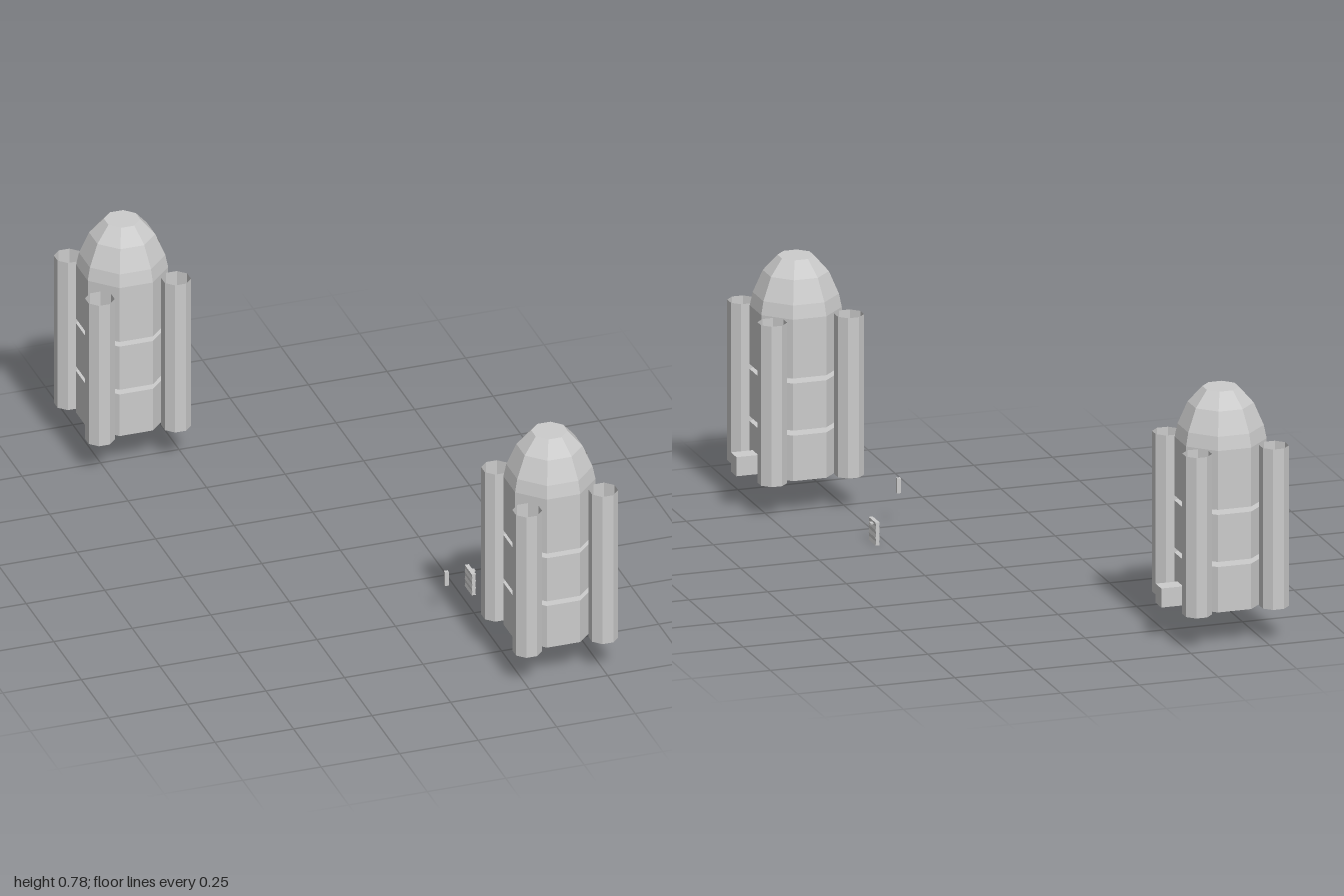
import * as THREE from 'three';

const mat = new THREE.MeshStandardMaterial({ color: 0xcccccc, flatShading: true });
const openMat = new THREE.MeshStandardMaterial({ color: 0xcccccc, flatShading: true, side: THREE.DoubleSide });
const K = 1 / Math.cos(Math.PI / 8); // flat-to-flat radius to corner radius

function add(parent, name, geo, x = 0, y = 0, z = 0, material = mat) {
  const mesh = new THREE.Mesh(geo, material);
  mesh.name = name;
  mesh.position.set(x, y, z);
  parent.add(mesh);
  return mesh;
}

const box = (w, h, d) => new THREE.BoxGeometry(w, h, d);

// Eight-sided turned solid with flats facing the axes; profile holds [flat radius, y]
function octagon(profile) {
  const points = profile.map(([r, y]) => new THREE.Vector2(r * K, y));
  return new THREE.LatheGeometry(points, 8, Math.PI / 8);
}

function createSilo() {
  const silo = new THREE.Group();
  silo.name = 'silo';

  // Body in three sections parted by narrow gaps
  add(silo, 'lowerBody', octagon([[0, 0.107], [0.128, 0.107], [0.128, 0.25], [0, 0.25]]));
  add(silo, 'middleBody', octagon([[0, 0.266], [0.128, 0.266], [0.128, 0.414], [0, 0.414]]));
  add(silo, 'upperBodyAndDome', octagon([
    [0, 0.43], [0.128, 0.43], [0.128, 0.615], [0.12, 0.657],
    [0.092, 0.727], [0.051, 0.776], [0, 0.776],
  ]));

  // Cores joining the sections
  add(silo, 'lowerCore', box(0.075, 0.016, 0.075), 0, 0.258, 0);
  add(silo, 'upperCore', box(0.115, 0.016, 0.13), 0.02, 0.422, -0.01);

  // Corner towers, open at the top; one is shorter
  const towers = [
    [-0.129, -0.117, 0.612], [0.117, -0.123, 0.612],
    [0.129, 0.121, 0.612], [-0.115, 0.126, 0.589],
  ];
  for (const [x, z, top] of towers) {
    add(silo, 'tower', octagon([[0, 0.107], [0.0415, 0.107], [0.0415, top]]), x, 0, z, openMat);
  }

  // Entrance block on the side
  add(silo, 'entrance', box(0.085, 0.06, 0.052), 0.155, 0.137, 0);
  return silo;
}

// Thin ribbed panel with a small knob
function createPanel() {
  const panel = new THREE.Group();
  panel.name = 'panel';
  const right = [];
  for (let i = 0; i <= 12; i++) {
    const y = (i / 12) * 0.072;
    right.push(new THREE.Vector2(0.0065 - 0.0018 * (0.5 - 0.5 * Math.cos((i * Math.PI) / 2)), y));
  }
  const left = right.map((p) => new THREE.Vector2(-p.x, p.y)).reverse();
  const geo = new THREE.ExtrudeGeometry(new THREE.Shape([...right, ...left]), { depth: 0.064, bevelEnabled: false });
  geo.translate(0, 0, -0.032);
  add(panel, 'ribbedPlate', geo);
  add(panel, 'knob', box(0.012, 0.005, 0.012), 0.01, 0.064, -0.005);
  return panel;
}

export function createModel() {
  const model = new THREE.Group();
  model.name = 'siloSite';

  for (const [x, z] of [[-0.402, -0.833], [0.374, 0.831]]) {
    const silo = createSilo();
    silo.position.set(x, 0, z);
    model.add(silo);
  }

  const panel = createPanel();
  panel.position.set(0.286, 0, 0.364);
  model.add(panel);

  add(model, 'post', box(0.012, 0.047, 0.011), 0.165, 0.13, 0.491);
  return model;
}
